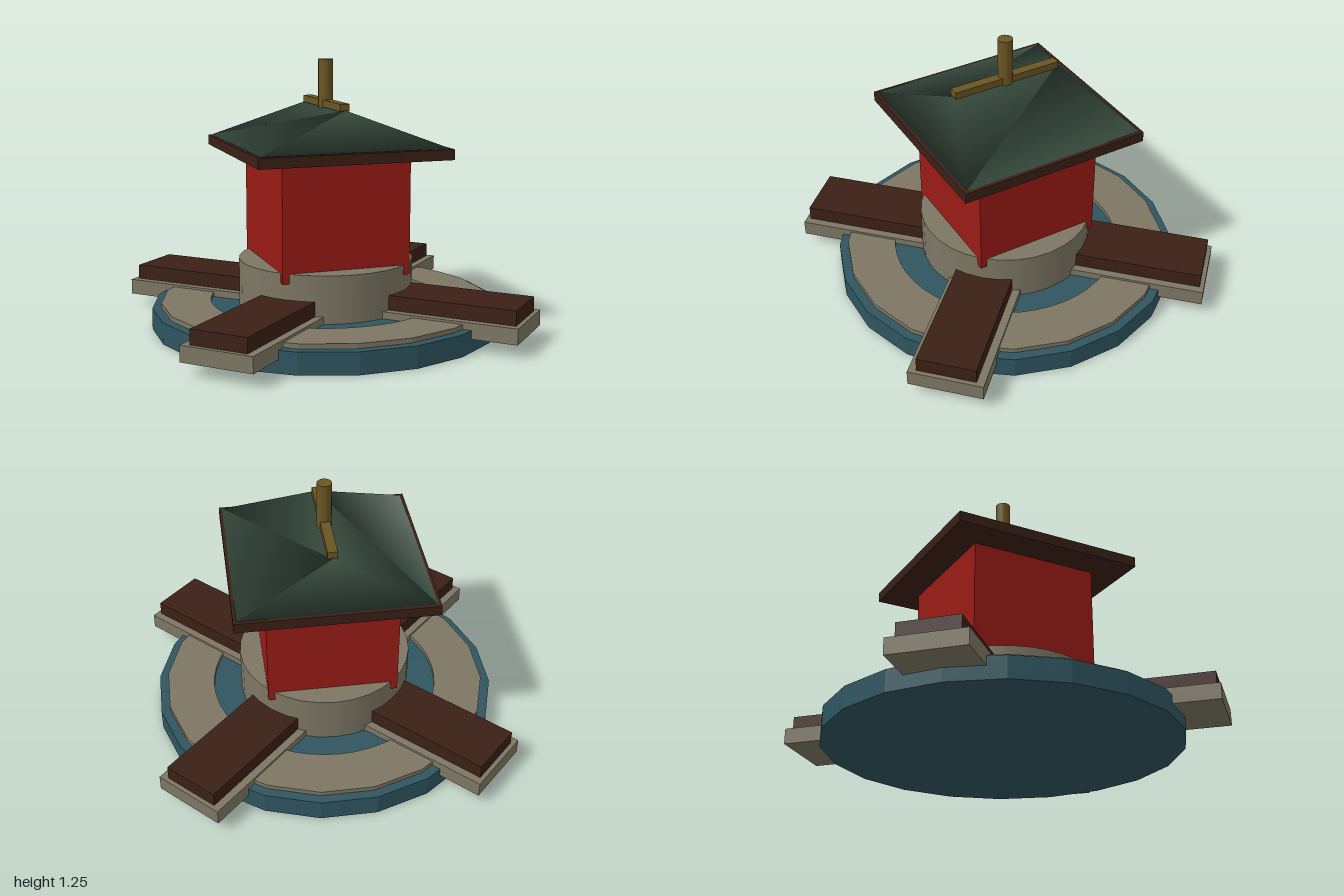
import * as THREE from 'three';

const mat = (color, extra = {}) => new THREE.MeshStandardMaterial({ color, ...extra });
const stone = mat(0x7d7664);
const wood = mat(0x3b2016);
const teal = mat(0x2f5560, { flatShading: true });
const red = mat(0x9a1b15);
const green = mat(0x35483c);
const gold = mat(0x6b5622);

function add(parent, name, geometry, material, x = 0, y = 0, z = 0) {
  const mesh = new THREE.Mesh(geometry, material);
  mesh.name = name;
  mesh.position.set(x, y, z);
  parent.add(mesh);
  return mesh;
}

// Box between two heights
function slab(parent, name, w, y0, y1, d, material, x = 0) {
  return add(parent, name, new THREE.BoxGeometry(w, y1 - y0, d), material, x, (y0 + y1) / 2);
}

// Upright cylinder between two heights
function drum(parent, name, r, y0, y1, sides, material) {
  return add(parent, name, new THREE.CylinderGeometry(r, r, y1 - y0, sides), material, 0, (y0 + y1) / 2);
}

// Hip roof: square eaves rising to a ridge along x
function hipRoof(half, ridge, y0, y1) {
  const g = new THREE.BufferGeometry();
  g.setAttribute('position', new THREE.Float32BufferAttribute([
    -half, y0, half, half, y0, half, half, y0, -half, -half, y0, -half,
    -ridge, y1, 0, ridge, y1, 0,
  ], 3));
  g.setIndex([
    0, 1, 5, 0, 5, 4, // one long slope
    2, 3, 4, 2, 4, 5, // the other long slope
    1, 2, 5, 3, 0, 4, // hip ends
    0, 3, 2, 0, 2, 1, // underside
  ]);
  g.computeVertexNormals();
  return g;
}

// Flat ring with a faceted outer edge and a round inner edge
function flatRing(outer, inner, height) {
  const shape = new THREE.Shape();
  for (let i = 0; i < 20; i++) {
    const a = (i / 20) * Math.PI * 2;
    const x = outer * Math.cos(a), y = outer * Math.sin(a);
    if (i) shape.lineTo(x, y); else shape.moveTo(x, y);
  }
  shape.closePath();
  shape.holes.push(new THREE.Path().absarc(0, 0, inner, 0, Math.PI * 2, true));
  return new THREE.ExtrudeGeometry(shape, { depth: height, bevelEnabled: false, curveSegments: 24 })
    .rotateX(-Math.PI / 2);
}

export function createModel() {
  const model = new THREE.Group();
  model.name = 'pavilion';

  // Round foundation
  const base = drum(model, 'base', 0.82, 0.025, 0.125, 20, teal);
  base.name = 'base';
  add(model, 'pavingRing', flatRing(0.777, 0.545, 0.025), stone, 0, 0.122);
  drum(model, 'plinth', 0.41, 0.12, 0.345, 32, stone);

  // Four walkways in a cross
  for (let i = 0; i < 4; i++) {
    const arm = new THREE.Group();
    arm.name = 'walkway';
    slab(arm, 'walkwayFooting', 0.66, 0.085, 0.158, 0.345, stone, 0.67);
    slab(arm, 'walkwayDeck', 0.62, 0.158, 0.226, 0.272, wood, 0.67);
    arm.rotation.y = (i * Math.PI) / 2;
    model.add(arm);
  }

  // House, turned so its corners face the walkways
  const house = new THREE.Group();
  house.name = 'house';
  house.rotation.y = -Math.PI / 4;
  model.add(house);
  slab(house, 'walls', 0.608, 0.30, 0.85, 0.608, red);
  slab(house, 'eaves', 0.905, 0.842, 0.89, 0.905, wood);
  add(house, 'roof', hipRoof(0.438, 0.275, 0.892, 1.06), green);
  slab(house, 'ridgeBeam', 0.53, 1.055, 1.088, 0.045, gold);
  drum(house, 'finial', 0.034, 1.05, 1.275, 16, gold);

  return model;
}
